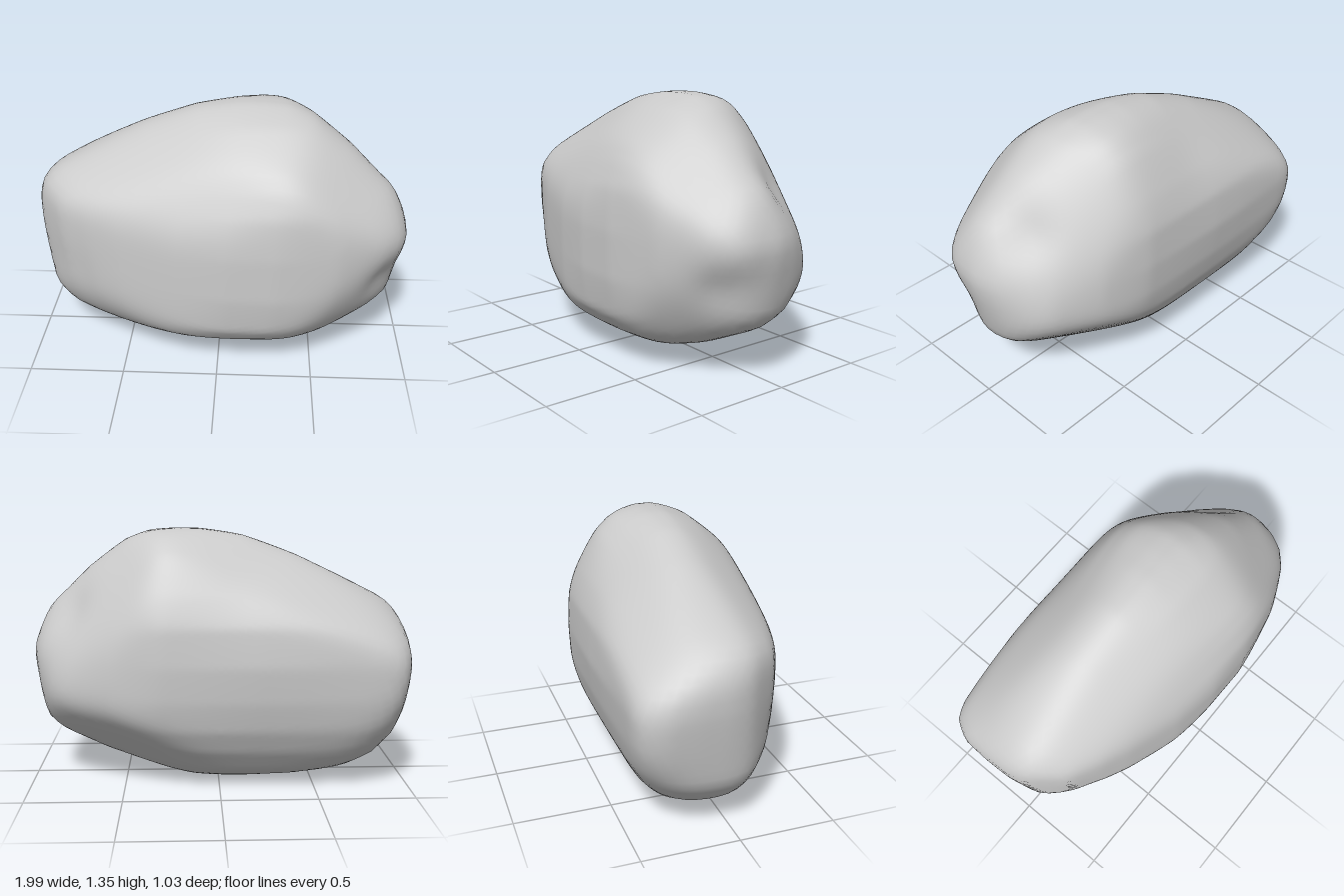
import * as THREE from 'three';
import { mergeVertices } from 'three/addons/utils/BufferGeometryUtils.js';

const CENTER = new THREE.Vector3(0, 0.65, 0);
const SOFTNESS = 21;

// Outlines of the boulder: [x, y], [z, y] and [x, z]
const FRONT = [[-1, 0.68], [-1, 0.8], [-0.95, 0.9], [-0.87, 0.97], [-0.4, 1.2], [-0.13, 1.305], [0.1, 1.35],
  [0.23, 1.35], [0.35, 1.335], [0.48, 1.28], [0.68, 1.14], [0.9, 0.94], [1, 0.7], [0.99, 0.62], [0.9, 0.33],
  [0.82, 0.26], [0.6, 0.16], [0.13, 0.015], [-0.1, -0.005], [-0.4, 0.04], [-0.65, 0.1], [-0.82, 0.17],
  [-0.92, 0.29]];
const SIDE = [[0.49, 0.92], [0.515, 0.7], [0.51, 0.46], [0.47, 0.27], [0.4, 0.18], [0.15, 0.04], [0, -0.005],
  [-0.1, 0.005], [-0.23, 0.06], [-0.3, 0.11], [-0.39, 0.23], [-0.45, 0.35], [-0.49, 0.5], [-0.515, 0.68],
  [-0.49, 0.87], [-0.43, 1.02], [-0.33, 1.23], [-0.25, 1.31], [-0.1, 1.35], [0, 1.345], [0.17, 1.27],
  [0.38, 1.11], [0.44, 1.04]];
const TOP = [[-1, -0.2], [-0.99, -0.35], [-0.92, -0.45], [-0.85, -0.485], [-0.4, -0.515], [-0.2, -0.52],
  [0.3, -0.49], [0.55, -0.42], [0.8, -0.31], [0.86, -0.25], [0.95, -0.1], [1, 0.03], [0.98, 0.2],
  [0.94, 0.28], [0.85, 0.35], [0.6, 0.45], [0.3, 0.51], [0.05, 0.5], [-0.2, 0.45], [-0.5, 0.36],
  [-0.65, 0.3], [-0.8, 0.22], [-0.95, 0.05], [-0.99, -0.05]];

// Slanted faces that cut the corners: normal and plane constant
const CUTS = [
  [-0.35, 0.85, 0.65, 1.17],   // long slope on the upper front
  [-0.2, 0.45, 0.87, 0.79],    // bevel between that slope and the front
  [-0.22, 0.72, -0.62, 1.045], // long slope on the upper back
  [0.35, -0.7, -0.62, 0.15],   // broad underside at the back right
  [-0.4, -0.5, 0.75, 0.305],   // lower front left
  [-0.2, -0.9, 0.4, 0.07],     // underside at the front left
  [-0.5, 0.7, -0.4, 1.17],     // upper back left
  [-0.5, -0.6, -0.6, 0.455],   // lower back left
  [0.6, 0.6, -0.5, 1.1],       // upper back right
  [0.55, 0.4, -0.73, 0.92],    // back right
  [0.5, 0.6, 0.6, 1.09],       // upper front right
  [0.5, -0.45, 0.74, 0.425],   // lower front right
  [0.4, -0.75, 0.5, 0.265],    // underside at the front right
].map(([x, y, z, c]) => {
  const n = new THREE.Vector3(x, y, z);
  return n.divideScalar(c - n.dot(CENTER));
});

// Shallow hollows: centre, radius, depth
const DENTS = [
  [0.87, 0.51, 0.25, 0.14, 0.05],
  [0.8, 0.92, -0.12, 0.15, 0.045],
  [-0.75, 0.45, 0.2, 0.17, 0.025],
  [-0.1, 1.08, -0.4, 0.2, 0.015],
].map(([x, y, z, r, d]) => ({ at: new THREE.Vector3(x, y, z), r, d }));

// Edge lines of an outline, scaled so that each equals 1 on the edge
function edgeLines(points, cu, cv) {
  return points.map(([u, v], i) => {
    const [u2, v2] = points[(i + 1) % points.length];
    const nu = v2 - v, nv = u - u2;
    const d = nu * (u - cu) + nv * (v - cv);
    return [nu / d, nv / d];
  });
}

const reach = (lines, u, v) => Math.max(...lines.map(([a, b]) => a * u + b * v));

function boulderGeometry() {
  const front = edgeLines(FRONT, CENTER.x, CENTER.y);
  const side = edgeLines(SIDE, CENTER.z, CENTER.y);
  const top = edgeLines(TOP, CENTER.x, CENTER.z);

  const ball = new THREE.IcosahedronGeometry(1, 22);
  ball.deleteAttribute('normal');
  ball.deleteAttribute('uv');
  const geometry = mergeVertices(ball);
  const pos = geometry.attributes.position;
  const p = new THREE.Vector3();

  for (let i = 0; i < pos.count; i++) {
    p.fromBufferAttribute(pos, i).normalize();
    // Rounded intersection of the outlines and slanted faces, exact where two outlines meet
    const limits = [reach(front, p.x, p.y), reach(side, p.z, p.y), reach(top, p.x, p.z),
      ...CUTS.map((n) => n.dot(p))];
    const sum = limits.reduce((s, g) => s + Math.max(0, g) ** SOFTNESS, 0);
    p.multiplyScalar((sum / 2) ** (-1 / SOFTNESS)).add(CENTER);
    let shrink = 1;
    for (const { at, r, d } of DENTS) shrink -= d * Math.exp(-p.distanceToSquared(at) / (r * r));
    p.sub(CENTER).multiplyScalar(shrink).add(CENTER);
    pos.setXYZ(i, p.x, p.y, p.z);
  }
  geometry.computeVertexNormals();
  return geometry;
}

export function createModel() {
  const group = new THREE.Group();
  group.name = 'rock';
  const boulder = new THREE.Mesh(boulderGeometry(), new THREE.MeshStandardMaterial({ color: 0xcccccc }));
  boulder.name = 'boulder';
  group.add(boulder);
  return group;
}
